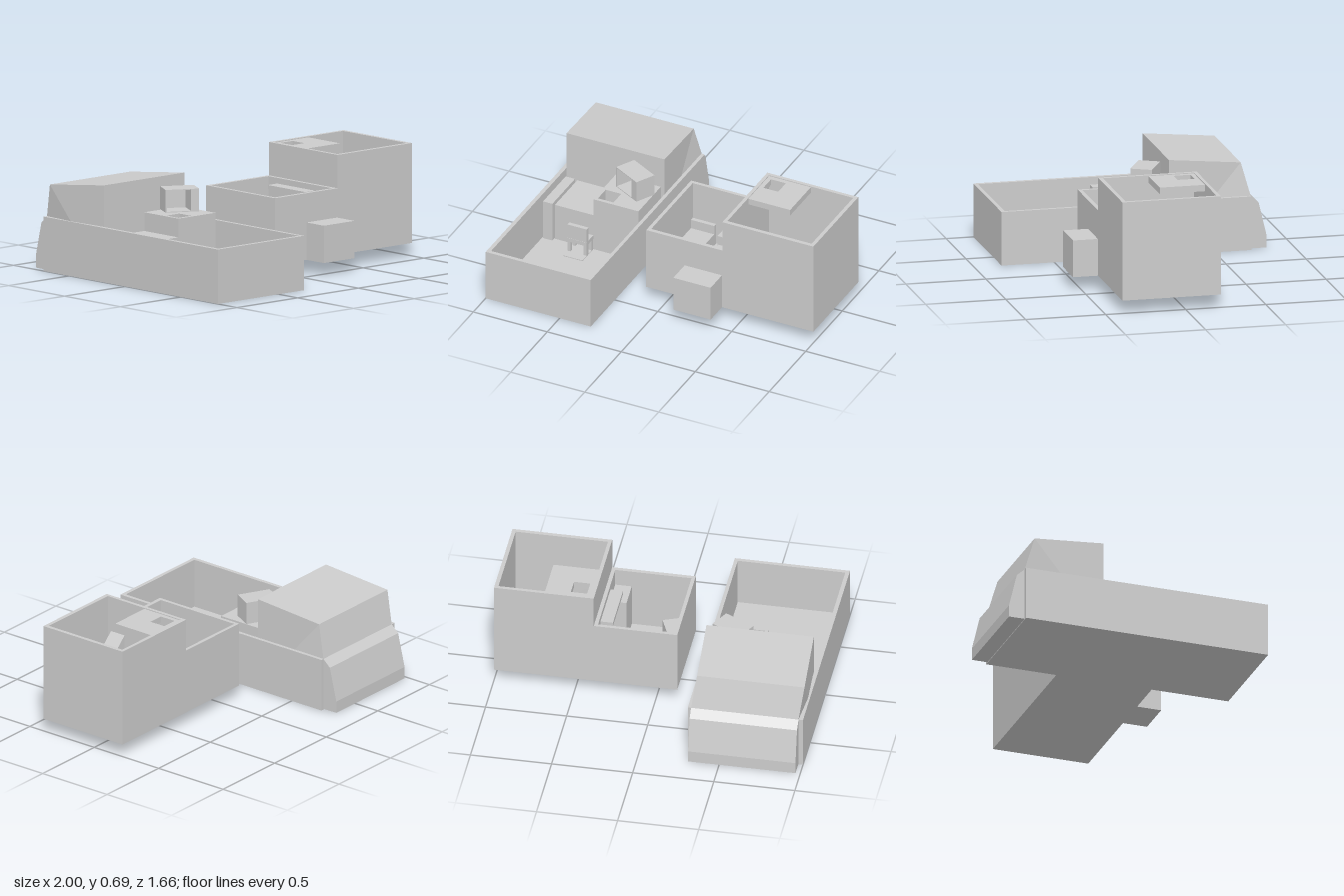
import * as THREE from 'three';

const material = new THREE.MeshStandardMaterial({ color: 0xcccccc, flatShading: true });

function add(group, name, geometry) {
  const mesh = new THREE.Mesh(geometry, material);
  mesh.name = name;
  group.add(mesh);
  return mesh;
}

function box(group, name, x0, x1, y0, y1, z0, z1) {
  const g = new THREE.BoxGeometry(x1 - x0, y1 - y0, z1 - z0);
  return add(group, name, g.translate((x0 + x1) / 2, (y0 + y1) / 2, (z0 + z1) / 2));
}

function polygon(points) {
  return new THREE.Shape(points.map(([x, y]) => new THREE.Vector2(x, y)));
}

function rect(x0, x1, y0, y1) {
  return polygon([[x0, y0], [x1, y0], [x1, y1], [x0, y1]]);
}

// Upright block with a rectangular shaft; areas are [x0, x1, z0, z1]
function ring(group, name, outer, inner, y0, y1) {
  const shape = rect(outer[0], outer[1], -outer[3], -outer[2]);
  shape.holes.push(rect(inner[0], inner[1], -inner[3], -inner[2]));
  const g = new THREE.ExtrudeGeometry(shape, { depth: y1 - y0, bevelEnabled: false });
  return add(group, name, g.rotateX(-Math.PI / 2).translate(0, y0, 0));
}

function createTrailer() {
  const t = new THREE.Group();
  t.name = 'openTrailer';
  ring(t, 'trailerWalls', [-1, -0.29, -0.73, 0.83], [-0.975, -0.312, -0.705, 0.806], 0, 0.335);
  box(t, 'trailerFloor', -0.98, -0.3, 0, 0.025, -0.72, 0.82);

  // Cab: side profile swept across, with the roof's rear edge pushed sideways
  const profile = polygon([
    [-0.22, 0.005], [-0.22, 0.59], [-0.675, 0.54], [-0.73, 0.335],
    [-0.78, 0.29], [-0.83, 0.08], [-0.83, 0.005],
  ]);
  const cab = new THREE.ExtrudeGeometry(profile, { depth: 0.662, bevelEnabled: false });
  cab.rotateY(-Math.PI / 2).translate(-0.31, 0, 0);
  const p = cab.attributes.position;
  for (let i = 0; i < p.count; i++) {
    if (Math.abs(p.getY(i) - 0.54) < 0.01) p.setX(i, p.getX(i) - 0.027);
  }
  cab.computeVertexNormals();
  add(t, 'cab', cab);

  // Kitchen units
  box(t, 'lowCabinet', -0.9, -0.64, 0.02, 0.27, -0.222, 0.085);
  box(t, 'wallShelf', -0.968, -0.905, 0.02, 0.29, -0.2, 0.11);
  ring(t, 'counter', [-0.64, -0.335, -0.222, 0.085], [-0.62, -0.515, -0.043, 0.063], 0.28, 0.385);
  box(t, 'counterBase', -0.64, -0.335, 0.02, 0.28, -0.222, 0.085);

  // Open-fronted oven standing at an angle on the counter
  const oven = new THREE.Group();
  oven.name = 'oven';
  const front = rect(-0.105, 0.105, -0.07, 0.07);
  front.holes.push(rect(-0.098, 0.054, -0.065, 0.065));
  const shell = new THREE.ExtrudeGeometry(front, { depth: 0.13, bevelEnabled: false });
  add(oven, 'ovenShell', shell.translate(0, 0, -0.0625));
  box(oven, 'ovenBack', -0.105, 0.105, -0.07, 0.07, -0.0675, -0.0625);
  oven.position.set(-0.452, 0.46, -0.108);
  oven.rotation.y = -0.49;
  t.add(oven);

  // Chair on a floor mat
  box(t, 'chairSeat', -0.77, -0.64, 0.1, 0.125, 0.085, 0.18);
  box(t, 'chairBack', -0.77, -0.64, 0.125, 0.22, 0.152, 0.178);
  for (const x of [-0.77, -0.66]) {
    for (const z of [0.087, 0.155]) box(t, 'chairLeg', x, x + 0.02, 0.02, 0.1, z, z + 0.022);
  }
  box(t, 'mat', -0.77, -0.64, 0.02, 0.03, 0.085, 0.235);
  return t;
}

function createHouse() {
  const h = new THREE.Group();
  h.name = 'openHouse';
  ring(h, 'lowRoomWalls', [-0.13, 0.385, -0.22, 0.395], [-0.108, 0.362, -0.198, 0.37], 0.08, 0.49);
  ring(h, 'tallRoomWalls', [0.385, 1, -0.22, 0.395], [0.407, 0.976, -0.198, 0.37], 0.08, 0.695);
  box(h, 'houseFloor', -0.12, 0.99, 0.08, 0.1, -0.21, 0.385);
  box(h, 'porch', 0.13, 0.382, 0.08, 0.31, 0.39, 0.55);

  // Tall room: upper landing with hatch, and a steep ramp
  ring(h, 'landing', [0.405, 0.69, -0.2, 0.085], [0.435, 0.535, -0.17, -0.065], 0.65, 0.69);
  const slope = polygon([[0.407, 0.095], [0.79, 0.095], [0.75, 0.15], [0.407, 0.47]]);
  const ramp = new THREE.ExtrudeGeometry(slope, { depth: 0.105, bevelEnabled: false });
  add(h, 'ramp', ramp.translate(0, 0, 0.24));

  // Low room: bed, armchair, cabinets and a high shelf
  box(h, 'bed', -0.108, 0.05, 0.095, 0.18, -0.172, 0.06);
  box(h, 'headboard', -0.108, 0.05, 0.095, 0.24, -0.198, -0.172);
  const chair = box(h, 'armchair', -0.052, 0.052, 0.095, 0.19, -0.078, 0.078);
  chair.position.set(-0.017, 0, 0.267);
  chair.rotation.y = 0.39;
  box(h, 'lowCupboard', 0.13, 0.362, 0.095, 0.26, -0.198, -0.055);
  box(h, 'highShelf', 0.285, 0.362, 0.43, 0.455, -0.12, 0.215);
  box(h, 'tallCupboard', 0.26, 0.362, 0.095, 0.38, 0.195, 0.37);
  return h;
}

export function createModel() {
  const model = new THREE.Group();
  model.name = 'trailerAndHouse';
  model.add(createTrailer(), createHouse());
  return model;
}
